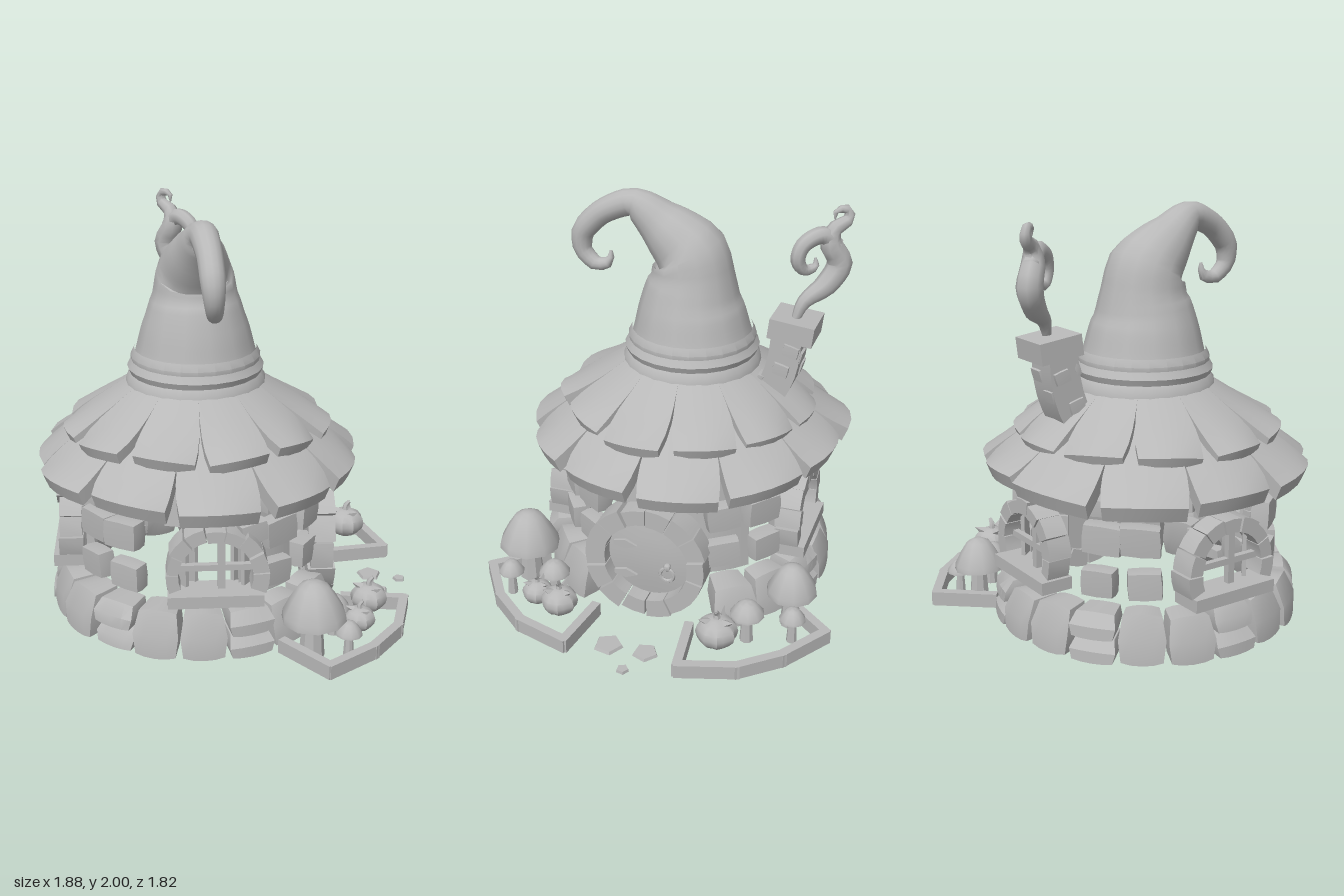
import * as THREE from 'three';
import { toCreasedNormals } from 'three/addons/utils/BufferGeometryUtils.js';

const RAD = Math.PI / 180;

export function createModel() {
  const clay = new THREE.MeshStandardMaterial({ color: 0xb8b8b8 });
  clay.name = 'clay grey';
  const model = new THREE.Group();
  model.name = 'cottage';
  const house = new THREE.Group();
  house.name = 'house';
  house.position.set(-0.15, 0, -0.01);
  model.add(house);

  let seed = 7;
  const rnd = (a = 1) => { // seeded value in -a..a
    seed = (seed * 16807) % 2147483647;
    return (seed / 2147483647 * 2 - 1) * a;
  };
  const add = (parent, name, geo, x = 0, y = 0, z = 0, crease = 0.6) => {
    const mesh = new THREE.Mesh(toCreasedNormals(geo, crease), clay);
    mesh.name = name;
    mesh.position.set(x, y, z);
    parent.add(mesh);
    return mesh;
  };
  const group = (parent, name, x = 0, y = 0, z = 0) => {
    const g = new THREE.Group();
    g.name = name;
    g.position.set(x, y, z);
    parent.add(g);
    return g;
  };
  const box = (w, h, d) => new THREE.BoxGeometry(w, h, d);
  // Reshapes a unit box by a rule on its coordinates (-0.5..0.5)
  const mapBox = (nx, ny, nz, rule) => {
    const geo = new THREE.BoxGeometry(1, 1, 1, nx, ny, nz);
    const p = geo.attributes.position;
    for (let i = 0; i < p.count; i++) p.setXYZ(i, ...rule(p.getX(i), p.getY(i), p.getZ(i)));
    return geo;
  };
  // Rough rounded block
  const stone = (w, h, d) => {
    const k = [rnd(0.06), rnd(0.06), rnd(0.06)];
    return mapBox(2, 2, 2, (x, y, z) => {
      const s = 1.07 - 0.2 * (x * x + y * y + z * z);
      return [(x + k[0] * y) * s * w, (y + k[1] * x) * s * h, (z + k[2] * y) * s * d];
    });
  };
  // Tapered tube through points [x, y, z, radius]
  const taper = (pts, n, sides, tension = 0.5) => {
    const curve = new THREE.CatmullRomCurve3(pts.map(p => new THREE.Vector3(p[0], p[1], p[2])), false, 'catmullrom', tension);
    const geo = new THREE.TubeGeometry(curve, n, 1, sides, false);
    const pos = geo.attributes.position, v = new THREE.Vector3();
    for (let i = 0; i <= n; i++) {
      const c = curve.getPointAt(i / n);
      const t = curve.getUtoTmapping(i / n) * (pts.length - 1);
      const j = Math.min(Math.floor(t), pts.length - 2);
      const r = THREE.MathUtils.lerp(pts[j][3], pts[j + 1][3], t - j);
      for (let s = 0; s <= sides; s++) {
        const k = i * (sides + 1) + s;
        v.fromBufferAttribute(pos, k).sub(c).multiplyScalar(r).add(c);
        pos.setXYZ(k, v.x, v.y, v.z);
      }
    }
    return geo;
  };
  const lathe = (pts, sides) => new THREE.LatheGeometry(pts.map(p => new THREE.Vector2(...p)), sides);

  // Foundation: ring of big stones, open at the door (+x); some split in two rows
  const foundation = group(house, 'foundation');
  const baseStone = (a0, a1, y0, y1) => {
    const out = 0.735 + rnd(0.02);
    add(foundation, 'baseStone', mapBox(4, 2, 2, (x, y, z) => {
      const soft = 1 - 0.12 * (4 * x * x) * (4 * y * y);
      const a = THREE.MathUtils.lerp(a0, a1, 0.5 + x * 0.96 * soft) * RAD;
      const r = 0.655 + z * 2 * (out - 0.655) * (1 - 0.25 * (2 * y) ** 2) - y * 0.05;
      return [Math.sin(a) * r, THREE.MathUtils.lerp(y0, y1, 0.5 + y * soft), Math.cos(a) * r];
    }));
  };
  for (let i = 0; i < 17; i++) {
    const a0 = 117 + i * 18, a1 = a0 + 18;
    if (i % 3 === 2) {
      baseStone(a0, a1, 0.02, 0.13);
      baseStone(a0, a1, 0.135, 0.25);
    } else baseStone(a0, a1, 0.02, 0.24 + rnd(0.015));
  }

  // Plaster patches, outside faces only
  for (const [a, b, y0, y1] of [[-17, 22, 0.64, 0.92], [17, 48, 0.25, 0.92], [76, 138, 0.25, 0.92]]) {
    add(house, 'plasterWall', new THREE.CylinderGeometry(0.56, 0.59, y1 - y0, 8, 1, true, a * RAD, (b - a) * RAD),
      0, (y0 + y1) / 2, 0, 1);
  }

  // Loose wall stones: [angle, height, width, tallness]
  const wallStone = (angle, y, w, h) => {
    const a = angle * RAD;
    add(house, 'wallStone', stone(w, h, 0.09), Math.sin(a) * 0.6, y, Math.cos(a) * 0.6).rotation.set(0, a, rnd(0.06));
  };
  for (const w of [0, 180, 270]) for (const side of [-1, 1]) {
    for (const [off, y, sw, sh] of [[35, 0.36, 0.16, 0.13], [37, 0.57, 0.19, 0.14], [34, 0.72, 0.13, 0.08]]) {
      wallStone(w + side * off, y, sw, sh);
    }
  }
  for (const a of [57, 123]) for (const y of [0.38, 0.58]) wallStone(a, y, 0.17, 0.13);
  for (const [a, y] of [[23, 0.6], [70, 0.68]]) wallStone(a, y, 0.14, 0.1);

  // Row of wedge blocks around an arc
  const arch = (parent, name, n, a0, a1, r0, r1, depth, cy) => {
    for (let i = 0; i < n; i++) {
      const step = (a1 - a0) / n, out = r1 + rnd(0.012), d = depth * (1 + rnd(0.15));
      add(parent, name, mapBox(2, 1, 1, (x, y, z) => {
        const a = (a0 + step * (i + 0.5 + x * 0.94)) * RAD, r = y > 0 ? out : r0;
        return [Math.sin(a) * r, cy + Math.cos(a) * r, z * d];
      }));
    }
  };

  // Arched windows on the front, back and right sides: [angle, shift, distance]
  for (const [w, shift, dist] of [[0, 0.06, 0.6], [180, -0.06, 0.6], [270, 0, 0.63]]) {
    const win = group(house, 'window');
    win.rotation.y = w * RAD;
    const frame = group(win, 'windowFrame', shift, 0, dist);
    arch(frame, 'archStone', 9, -112, 112, 0.175, 0.24, 0.12, 0.42);
    add(frame, 'sill', box(0.45, 0.06, 0.16), 0, 0.3, 0.01);
    add(frame, 'crossBar', box(0.36, 0.03, 0.03), 0, 0.44, 0);
    add(frame, 'uprightBar', box(0.035, 0.26, 0.03), 0.03, 0.45, 0);
    for (const s of [-1, 1]) for (const k of [0, 1]) {
      add(frame, 'shutterPlank', box(0.065, 0.24 + k * 0.04, 0.02), s * (0.15 - k * 0.045), 0.45, -0.04 - k * 0.05)
        .rotation.y = s * 0.9;
    }
  }

  // Round door with stone surround
  const door = group(house, 'door', 0.605, 0, 0.01);
  door.rotation.y = Math.PI / 2;
  arch(door, 'doorStone', 14, 0, 360, 0.215, 0.305, 0.13, 0.33);
  add(door, 'doorPanel', lathe([[0, -0.04], [0.22, -0.04], [0.22, -0.01], [0.12, 0.004], [0, 0.01]], 32), 0, 0.33, 0)
    .rotation.x = Math.PI / 2;
  for (const y of [0.39, 0.22]) {
    const shape = new THREE.Shape([[-0.18, -0.012], [-0.12, -0.025], [-0.06, 0], [-0.12, 0.025], [-0.18, 0.012]]
      .map(p => new THREE.Vector2(...p)));
    add(door, 'hinge', new THREE.ExtrudeGeometry(shape, { depth: 0.015, bevelEnabled: false }), 0, y, 0.002);
  }
  add(door, 'knocker', new THREE.TorusGeometry(0.035, 0.009, 6, 14), 0.1, 0.265, 0.025);
  add(door, 'knockerMount', new THREE.SphereGeometry(0.02, 8, 6), 0.1, 0.305, 0.02);

  // Thatch tiers: neighbours share their edges and part in notches only near the rim
  const tier = (name, n, turn, profile, thick) => {
    const g = group(house, name);
    const sag = Array.from({ length: n }, () => rnd(0.022));
    for (let i = 0; i < n; i++) {
      const a0 = turn + i * 360 / n, da = 360 / n, dr = rnd(0.025), notch = 0.17 + rnd(0.07);
      add(g, 'shingle', mapBox(4, 1, 6, (x, y, z) => {
        const t = (z + 0.5) * 2, k = Math.min(Math.floor(t), 1), f = t - k, rim = (t / 2) ** 4;
        const a = (a0 + da * (0.5 + x * (1 - notch * rim))) * RAD;
        const dip = THREE.MathUtils.lerp(sag[i], sag[(i + 1) % n], x + 0.5);
        const r = THREE.MathUtils.lerp(profile[k][0], profile[k + 1][0], f) + rim * (dr - 0.08 * x * x) + y * thick * 0.4;
        const h = THREE.MathUtils.lerp(profile[k][1], profile[k + 1][1], f) + rim * (dip - 0.05 * x * x) + y * thick;
        return [Math.sin(a) * r, h, Math.cos(a) * r];
      }), 0, 0, 0, 0.5);
    }
  };
  tier('lowerRoof', 11, 22, [[0.4, 1.03], [0.6, 0.9], [0.79, 0.78]], 0.07);
  tier('upperRoof', 11, 0, [[0.26, 1.18], [0.43, 1.07], [0.635, 0.95]], 0.055);

  // Bent hat forming the peak of the roof
  add(house, 'hatBand', lathe([[0.28, 1.12], [0.345, 1.15], [0.34, 1.185], [0.322, 1.21], [0.335, 1.24], [0.315, 1.275], [0.26, 1.29]], 24), 0, 0, -0.01);
  add(house, 'hatRim', lathe([[0.25, 1.265], [0.315, 1.27], [0.318, 1.295], [0.3, 1.33]], 24), 0, 0, -0.01);
  add(house, 'hat', taper([[0, 1.28, -0.01, 0.305], [0, 1.47, -0.005, 0.25], [0, 1.6, -0.01, 0.205], [0, 1.71, 0.01, 0.185],
    [0.01, 1.83, 0.14, 0.125], [0.03, 1.935, 0.28, 0.068], [0.05, 1.88, 0.43, 0.06], [0.06, 1.78, 0.53, 0.058],
    [0.065, 1.68, 0.535, 0.045], [0.07, 1.615, 0.465, 0.036], [0.07, 1.635, 0.395, 0.026], [0.07, 1.695, 0.385, 0.006]],
  40, 14, 0.35), 0, 0, 0, 0.8);

  // Leaning, slightly bowed chimney
  const chimney = group(house, 'chimney', 0, 1.0, -0.42);
  chimney.rotation.x = -0.28;
  const bow = y => 0.02 - 0.03 * Math.cos((y / 0.4 - 0.45) * Math.PI);
  add(chimney, 'shaft', mapBox(1, 6, 1, (x, y, z) => [x * 0.165, y * 0.4 + 0.18, z * 0.155 + bow(y * 0.4 + 0.18)]));
  for (const [x, y, z] of [[0.05, 0.1, 0.075], [-0.04, 0.2, -0.07], [0.04, 0.29, -0.07], [-0.045, 0.28, 0.07],
    [0.08, 0.2, 0], [-0.08, 0.12, 0.02], [0.08, 0.31, -0.03], [-0.08, 0.28, -0.02]]) {
    const onSide = Math.abs(x) > 0.07;
    add(chimney, 'brick', stone(onSide ? 0.03 : 0.08, 0.06, onSide ? 0.08 : 0.03), x, y, z + bow(y));
  }
  add(house, 'chimneyCap', box(0.22, 0.1, 0.22), 0, 1.395, -0.53).rotation.x = -0.12;

  // Curling smoke lying in one slanted plane; points are [z, y, radius]
  const smoke = (name, pts) => add(house, name,
    taper(pts.map(([z, y, r]) => [0.02 + (z + 0.54) * 0.85, y, z + 0.01, r]), 24, 8), 0, 0, 0, 1.2);
  smoke('smoke', [[-0.54, 1.43, 0.02], [-0.575, 1.52, 0.035], [-0.66, 1.59, 0.055], [-0.71, 1.69, 0.062], [-0.67, 1.79, 0.055],
    [-0.68, 1.86, 0.038], [-0.735, 1.9, 0.028], [-0.73, 1.95, 0.022], [-0.685, 1.95, 0.016], [-0.68, 1.91, 0.004]]);
  smoke('smokeCurl', [[-0.69, 1.78, 0.045], [-0.635, 1.84, 0.042], [-0.565, 1.81, 0.04], [-0.54, 1.74, 0.036],
    [-0.565, 1.68, 0.028], [-0.61, 1.69, 0.02], [-0.61, 1.735, 0.005]]);

  // Garden plants
  const mushroom = (x, z, r, top, tall = 1) => {
    const g = group(model, 'mushroom', x, 0, z);
    add(g, 'stem', new THREE.CylinderGeometry(r * 0.25, r * 0.4, top - r * 0.5 * tall, 8), 0, (top - r * 0.5 * tall) / 2 + 0.01, 0);
    const c = add(g, 'cap', lathe([[0, -0.95], [0.6, -1.1], [1, -1.25], [0.97, -1.02], [0.72, -0.55],
      [0.45, -0.15], [0.2, -0.02], [0, 0]].map(([a, b]) => [a * r, b * r * tall]), 10), 0, top, 0, 0.9);
    c.rotation.z = rnd(0.1);
  };
  const pumpkin = (x, z, r, y) => {
    const g = group(model, 'pumpkin', x, y, z);
    const geo = new THREE.SphereGeometry(r, 20, 8), p = geo.attributes.position;
    for (let i = 0; i < p.count; i++) {
      const k = 1 - 0.05 * Math.cos(8 * Math.atan2(p.getZ(i), p.getX(i)));
      p.setXYZ(i, p.getX(i) * k, p.getY(i) * 0.8, p.getZ(i) * k);
    }
    add(g, 'body', geo);
    add(g, 'stalk', taper([[0, r * 0.7, 0, r * 0.2], [0, r * 1.0, 0, r * 0.15], [r * 0.2, r * 1.25, 0, r * 0.1]], 4, 6));
    for (const s of [0.6, 2.8, 4.6]) {
      const leaf = add(g, 'leaf', new THREE.ConeGeometry(r * 0.25, r * 0.6, 4), Math.sin(s) * r * 0.7, r * 0.75, Math.cos(s) * r * 0.7);
      leaf.rotation.set(Math.cos(s) * 1.1, 0, -Math.sin(s) * 1.1);
    }
  };
  mushroom(0.36, 0.69, 0.155, 0.4);
  mushroom(0.53, 0.72, 0.065, 0.2, 0.8);
  mushroom(0.49, 0.5, 0.08, 0.22, 0.7);
  pumpkin(0.68, 0.39, 0.088, 0.14);
  pumpkin(0.61, 0.54, 0.075, 0.11);
  mushroom(0.33, -0.69, 0.125, 0.35);
  mushroom(0.46, -0.73, 0.065, 0.2, 0.8);
  mushroom(0.52, -0.52, 0.085, 0.23, 0.7);
  pumpkin(0.69, -0.42, 0.098, 0.16);

  // Low board edging of both garden beds
  for (const s of [-1, 1]) {
    const bed = group(model, s > 0 ? 'frontBed' : 'backBed');
    const pts = [[0.23, 0.66], [0.42, 0.885], [0.65, 0.73], [0.8, 0.55], [0.88, 0.285], [0.58, 0.245]];
    for (let i = 0; i < pts.length - 1; i++) {
      const [x0, z0] = pts[i], [x1, z1] = pts[i + 1], dx = x1 - x0, dz = (z1 - z0) * s;
      add(bed, 'board', box(Math.hypot(dx, dz) + 0.03, 0.07, 0.045), (x0 + x1) / 2, 0.045, s * (z0 + z1) / 2)
        .rotation.y = -Math.atan2(dz, dx);
    }
  }

  // Stepping stones
  for (const [x, z, r] of [[0.77, -0.09, 0.065], [0.77, 0.1, 0.075], [0.92, -0.03, 0.032]]) {
    add(model, 'steppingStone', new THREE.CylinderGeometry(r * 0.9, r, 0.014, 5), x, 0.007, z).rotation.y = x * 9 + z;
  }
  return model;
}
